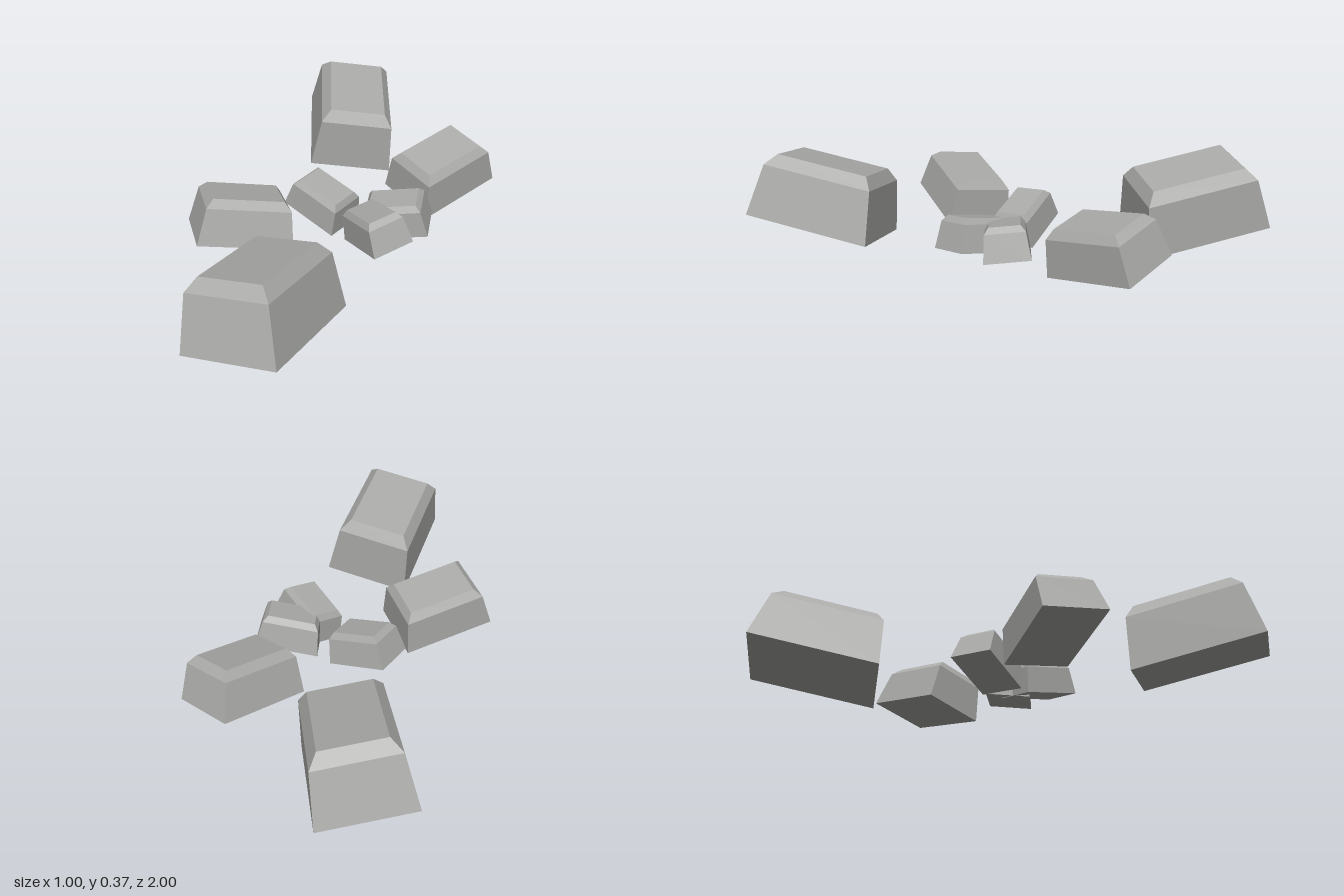
import * as THREE from 'three';

// Chiselled block: base, shoulder and top rectangles joined into a tapered, bevelled solid
function blockGeometry(w, d, h) {
  const bevel = 0.1 * w;
  const rings = [
    [w, d, 0],
    [w * 0.87, d * 0.88, h * 0.82],
    [w * 0.87 - 2 * bevel, d * 0.88 - 2 * bevel, h],
  ];
  const corners = [[-0.5, -0.5], [0.5, -0.5], [0.5, 0.5], [-0.5, 0.5]];
  const positions = [];
  for (const [rw, rd, y] of rings) {
    for (const [cx, cz] of corners) positions.push(cx * rw, y, cz * rd);
  }
  const index = [0, 1, 2, 0, 2, 3, 8, 10, 9, 8, 11, 10];
  for (let r = 0; r < 2; r++) {
    for (let i = 0; i < 4; i++) {
      const j = (i + 1) % 4;
      const a = r * 4 + i, b = r * 4 + j;
      index.push(a, a + 4, b + 4, a, b + 4, b);
    }
  }
  const indexed = new THREE.BufferGeometry();
  indexed.setAttribute('position', new THREE.Float32BufferAttribute(positions, 3));
  indexed.setIndex(index);
  const geometry = indexed.toNonIndexed();
  geometry.computeVertexNormals();
  return geometry;
}

// centre: middle of the base; long: heading of the long side (x, z); slope: rise of the base along x and z
const ROCKS = [
  { name: 'largeFrontRock', centre: [0.103, 0.075, 0.748], long: [-0.02, 1], slope: [0.16, 0.174], size: [0.355, 0.505, 0.255] },
  { name: 'largeBackRock', centre: [-0.24, 0.075, -0.702], long: [0.21, 0.445], slope: [-0.202, -0.118], size: [0.35, 0.502, 0.255] },
  { name: 'mediumBackRock', centre: [0.293, 0.078, -0.44], long: [-0.175, 0.32], slope: [-0.067, -0.24], size: [0.263, 0.371, 0.178] },
  { name: 'mediumFrontRock', centre: [-0.268, 0.075, 0.27], long: [0.285, -0.22], slope: [-0.06, 0.232], size: [0.263, 0.368, 0.175] },
  { name: 'smallRightRock', centre: [-0.072, 0.06, -0.052], long: [0.235, 0.055], slope: [-0.26, -0.12], size: [0.175, 0.25, 0.128] },
  { name: 'smallLeftRock', centre: [0.26, 0.07, -0.058], long: [0.24, -0.058], slope: [0.15, -0.13], size: [0.175, 0.25, 0.128] },
  { name: 'smallFrontRock', centre: [0.23, 0.068, 0.078], long: [0.185, 0.147], slope: [0.27, 0], size: [0.17, 0.245, 0.128] },
];

export function createModel() {
  const group = new THREE.Group();
  group.name = 'scatteredRocks';
  const stone = new THREE.MeshStandardMaterial({ color: 0xaaaaa8 });
  stone.name = 'grey stone';

  for (const { name, centre, long, slope, size } of ROCKS) {
    const rock = new THREE.Mesh(blockGeometry(...size), stone);
    rock.name = name;
    // Tilt each rock so its base lies in the sloped plane
    const up = new THREE.Vector3(-slope[0], 1, -slope[1]).normalize();
    const along = new THREE.Vector3(long[0], slope[0] * long[0] + slope[1] * long[1], long[1]).normalize();
    const across = new THREE.Vector3().crossVectors(up, along);
    rock.quaternion.setFromRotationMatrix(new THREE.Matrix4().makeBasis(across, up, along));
    rock.position.set(...centre);
    group.add(rock);
  }
  return group;
}
